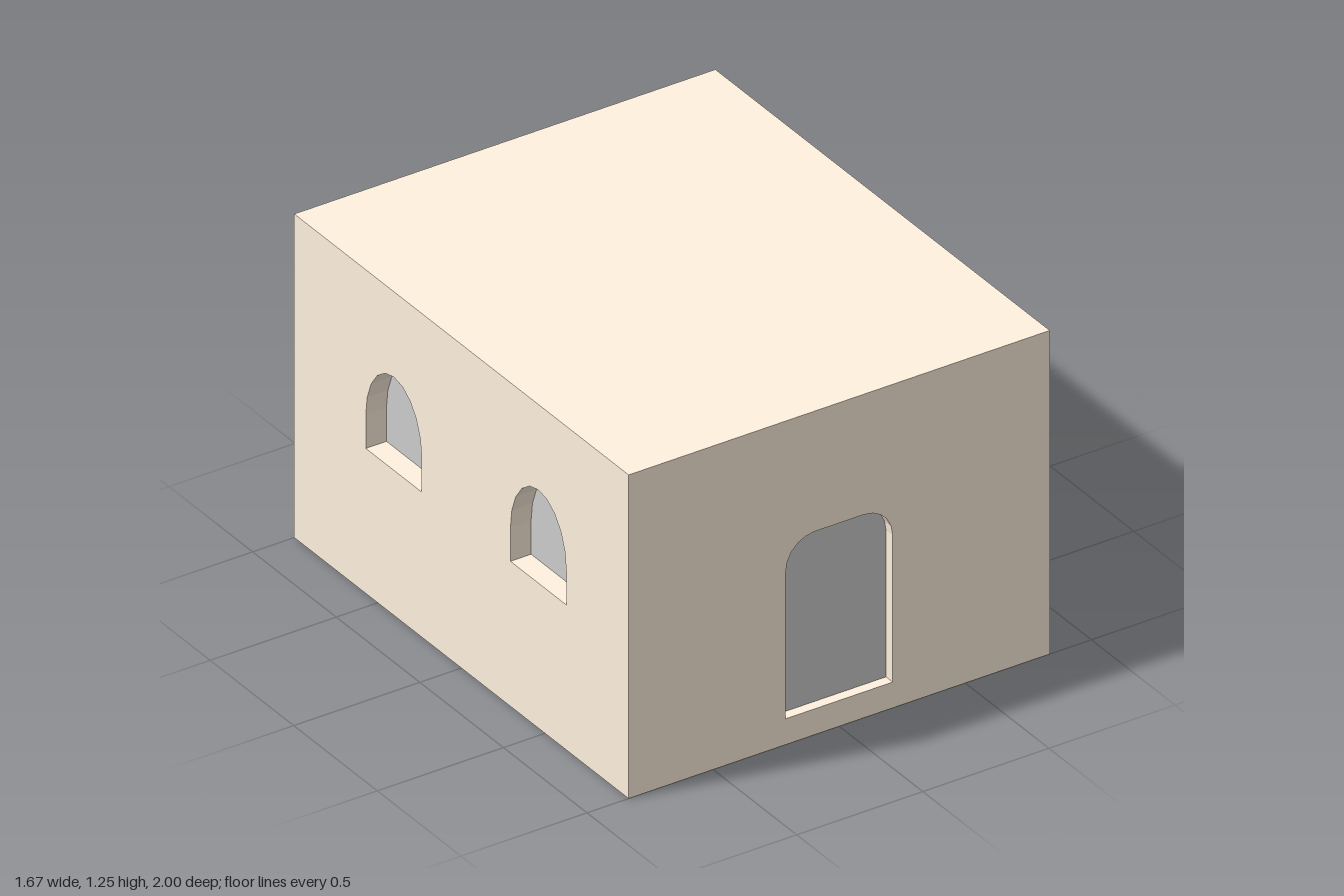
import * as THREE from 'three';

const W = 1.67, H = 1.25, D = 2;
const wallMat = new THREE.MeshStandardMaterial({ color: 0xfff1de, flatShading: true });
const revealMat = new THREE.MeshStandardMaterial({ color: 0xfff1de, flatShading: true, side: THREE.DoubleSide });
const paneMat = new THREE.MeshStandardMaterial({ color: 0xcccccc });

function mesh(name, geometry, material) {
  const m = new THREE.Mesh(geometry, material);
  m.name = name;
  return m;
}

// Counter-clockwise outline: flat sill, straight jambs, elliptical corners (rx, ry) at the top
function openingPoints(cx, half, bottom, top, rx, ry, steps) {
  const pts = [new THREE.Vector2(cx - half, bottom), new THREE.Vector2(cx + half, bottom)];
  for (const side of [1, -1]) {
    for (let i = 0; i <= steps; i++) {
      if (side < 0 && i === 0 && rx === half) continue; // the apex is shared
      const a = (side > 0 ? i : steps - i) / steps * Math.PI / 2;
      pts.push(new THREE.Vector2(cx + side * (half - rx + rx * Math.cos(a)), top - ry + ry * Math.sin(a)));
    }
  }
  return pts;
}

// Strip running from the wall face back to the recessed pane
function revealGeometry(pts, depth) {
  const pos = [];
  pts.forEach((a, i) => {
    const b = pts[(i + 1) % pts.length];
    pos.push(a.x, a.y, 0, b.x, b.y, 0, b.x, b.y, -depth);
    pos.push(a.x, a.y, 0, b.x, b.y, -depth, a.x, a.y, -depth);
  });
  const g = new THREE.BufferGeometry();
  g.setAttribute('position', new THREE.Float32BufferAttribute(pos, 3));
  g.computeVertexNormals();
  return g;
}

// Wall facing local +z, with recessed openings
function makeWall(name, width, part, openings, depth) {
  const group = new THREE.Group();
  group.name = name;
  const w = width / 2;
  const face = new THREE.Shape([[-w, 0], [w, 0], [w, H], [-w, H]].map(p => new THREE.Vector2(...p)));
  for (const pts of openings) {
    face.holes.push(new THREE.Path(pts));
    group.add(mesh(part + 'Reveal', revealGeometry(pts, depth), revealMat));
    const pane = mesh(part + 'Pane', new THREE.ShapeGeometry(new THREE.Shape(pts)), paneMat);
    pane.position.z = -depth;
    group.add(pane);
  }
  group.add(mesh(name + 'Face', new THREE.ShapeGeometry(face), wallMat));
  return group;
}

export function createModel() {
  const model = new THREE.Group();
  model.name = 'house';

  // Front wall with the round-cornered door
  const front = makeWall('frontWall', W, 'door', [openingPoints(0, 0.212, 0.1, 0.785, 0.115, 0.118, 5)], 0.04);
  front.position.z = D / 2;
  model.add(front);

  const back = makeWall('backWall', W, 'back', [], 0);
  back.rotation.y = Math.PI;
  back.position.z = -D / 2;
  model.add(back);

  // Side walls, each with two arched windows
  for (const s of [1, -1]) {
    const windows = [0.46, -0.405].map(z => openingPoints(-s * z, 0.167, 0.56, 0.92, 0.167, 0.23, 5));
    const wall = makeWall(s > 0 ? 'leftWall' : 'rightWall', D, 'window', windows, s > 0 ? 0.075 : 0.082);
    wall.rotation.y = s * Math.PI / 2;
    wall.position.x = s * W / 2;
    model.add(wall);
  }

  // Flat roof and floor
  const roof = mesh('roof', new THREE.PlaneGeometry(W, D), wallMat);
  roof.rotation.x = -Math.PI / 2;
  roof.position.y = H;
  const floor = mesh('floor', new THREE.PlaneGeometry(W, D), wallMat);
  floor.rotation.x = Math.PI / 2;
  model.add(roof, floor);

  return model;
}
